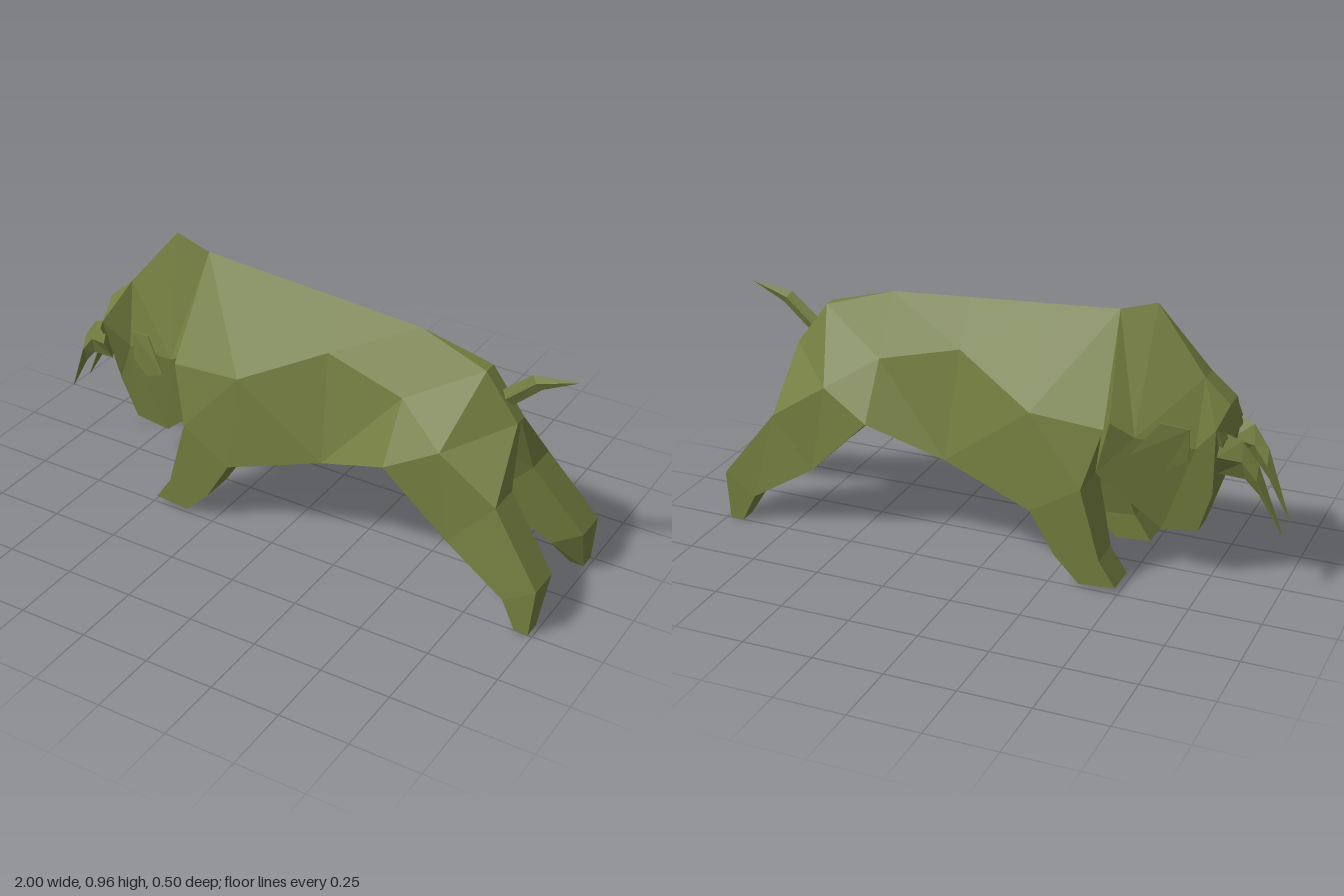
import * as THREE from 'three';

const hide = new THREE.MeshStandardMaterial({ color: 0x737d3f });
hide.name = 'olive hide';

// Faceted skin over a list of cross-sections, with both ends capped.
// Open sections run from the midline round the +z side; closed ones loop.
function loft(rings, closed) {
  const tris = [];
  const add = (a, b, c) => tris.push([a, b, c].map(p => new THREE.Vector3(...p)));
  const dist = (a, b) => Math.hypot(a[0] - b[0], a[1] - b[1], a[2] - b[2]);
  const n = rings[0].length;
  for (let i = 0; i < rings.length - 1; i++) {
    for (let j = 0; j < (closed ? n : n - 1); j++) {
      const k = (j + 1) % n;
      const a = rings[i][j], b = rings[i][k], c = rings[i + 1][k], d = rings[i + 1][j];
      if (dist(a, c) <= dist(b, d)) { add(a, b, c); add(a, c, d); }
      else { add(a, b, d); add(b, c, d); }
    }
  }
  const first = rings[0], last = rings[rings.length - 1];
  for (let j = 1; j < n - 1; j++) {
    add(first[0], first[j + 1], first[j]);
    add(last[0], last[j], last[j + 1]);
  }
  // drop collapsed triangles, then turn the skin outward
  const kept = tris.filter(([a, b, c]) => new THREE.Triangle(a, b, c).getArea() > 1e-7);
  const volume = kept.reduce((s, [a, b, c]) => s + a.dot(b.clone().cross(c)), 0);
  return kept.map(([a, b, c]) => (volume < 0 ? [a, c, b] : [a, b, c]));
}

function meshOf(name, tris) {
  const geo = new THREE.BufferGeometry().setFromPoints(tris.flat());
  geo.computeVertexNormals();
  const mesh = new THREE.Mesh(geo, hide);
  mesh.name = name;
  return mesh;
}

const mirror = tris => tris.map(([a, b, c]) =>
  [a, c, b].map(p => new THREE.Vector3(p.x, p.y, -p.z)));

// Four-cornered limb section: outer front, outer rear, inner rear, inner front
const limb = (fx, fy, rx, ry, zin, zout, zoutRear = zout, zinRear = zin) =>
  [[fx, fy, zout], [rx, ry, zoutRear], [rx, ry, zinRear], [fx, fy, zin]];

// Diamond section: top, outside, bottom, inside
const diamond = (tx, ty, bx, by, zin, zout) => {
  const x = (tx + bx) / 2, y = (ty + by) / 2, z = (zin + zout) / 2;
  return [[tx, ty, z], [x, y, zout], [bx, by, z], [x, y, zin]];
};

export function createModel() {
  const group = new THREE.Group();
  group.name = 'bull';
  const whole = (name, half) => group.add(meshOf(name, [...half, ...mirror(half)]));
  const pair = (name, tris) => {
    group.add(meshOf('left' + name, mirror(tris)));
    group.add(meshOf('right' + name, tris));
  };

  // Body, chest to rump: spine, spine edge, flank, lower side, inner side, belly
  whole('body', loft([
    [[-0.40, 0.92, 0], [-0.40, 0.92, 0], [-0.42, 0.57, 0.20], [-0.36, 0.36, 0.245], [-0.36, 0.36, 0.08], [-0.36, 0.36, 0]],
    [[-0.16, 0.904, 0], [-0.16, 0.904, 0], [-0.16, 0.59, 0.205], [-0.18, 0.25, 0.245], [-0.18, 0.25, 0.08], [-0.18, 0.25, 0]],
    [[0.135, 0.885, 0], [0.135, 0.885, 0], [0.135, 0.73, 0.10], [0.16, 0.35, 0.185], [0.23, 0.31, 0.08], [0.24, 0.283, 0]],
    [[0.43, 0.865, 0], [0.43, 0.865, 0], [0.43, 0.66, 0.123], [0.43, 0.46, 0.245], [0.43, 0.46, 0.10], [0.43, 0.46, 0]],
    [[0.68, 0.79, 0], [0.68, 0.79, 0.025], [0.61, 0.55, 0.20], [0.66, 0.235, 0.22], [0.66, 0.235, 0.10], [0.60, 0.54, 0]],
    [[0.80, 0.63, 0], [0.80, 0.63, 0.025], [0.82, 0.41, 0.20], [0.82, 0.41, 0.20], [0.82, 0.41, 0.08], [0.80, 0.63, 0]],
  ], false));

  // Head with hump and beard, face to neck: crown, crown edge, cheek, jaw edge, jaw
  whole('head', loft([
    [[-0.82, 0.56, 0], [-0.82, 0.56, 0.05], [-0.80, 0.56, 0.12], [-0.79, 0.43, 0.06], [-0.79, 0.43, 0]],
    [[-0.80, 0.66, 0], [-0.80, 0.66, 0.04], [-0.78, 0.60, 0.13], [-0.76, 0.34, 0.065], [-0.76, 0.34, 0]],
    [[-0.71, 0.74, 0], [-0.71, 0.74, 0.035], [-0.70, 0.50, 0.08], [-0.71, 0.185, 0.045], [-0.71, 0.185, 0]],
    [[-0.53, 0.96, 0], [-0.53, 0.96, 0], [-0.50, 0.52, 0.115], [-0.58, 0.165, 0.04], [-0.58, 0.165, 0]],
    [[-0.40, 0.92, 0], [-0.40, 0.92, 0], [-0.42, 0.57, 0.14], [-0.36, 0.36, 0.10], [-0.36, 0.36, 0]],
  ], false));

  // Legs
  pair('FrontLeg', loft([
    limb(-0.36, 0.36, -0.18, 0.25, 0.07, 0.245),
    limb(-0.43, 0.11, -0.27, 0.10, 0.125, 0.245),
    limb(-0.49, 0.02, -0.36, 0.01, 0.125, 0.245),
  ], true));
  pair('HindLeg', loft([
    limb(0.66, 0.235, 0.82, 0.41, 0.10, 0.22, 0.20, 0.08),
    limb(0.885, 0.10, 1.0, 0.175, 0.125, 0.245),
    limb(0.935, 0.0, 0.985, 0.0, 0.19, 0.25),
  ], true));

  // Horns curving forward and down
  pair('Horn', loft([
    diamond(-0.79, 0.58, -0.78, 0.43, 0.045, 0.125),
    diamond(-0.855, 0.555, -0.87, 0.42, 0.05, 0.095),
    diamond(-0.91, 0.48, -0.915, 0.37, 0.04, 0.088),
    diamond(-1.0, 0.23, -0.998, 0.228, 0.049, 0.051),
  ], true));

  // Ears: thin flakes flaring out to the rear
  const ear = [[-0.68, 0.57, 0.09], [-0.59, 0.59, 0.122], [-0.50, 0.48, 0.165],
    [-0.61, 0.42, 0.115], [-0.68, 0.46, 0.09]];
  pair('Ear', loft([ear, ear.map(([x, y, z]) => [x, y, z - 0.006])], true));

  // Tail
  group.add(meshOf('tail', loft([
    diamond(0.70, 0.70, 0.76, 0.67, -0.015, 0.015),
    diamond(0.83, 0.81, 0.865, 0.765, -0.012, 0.012),
    diamond(0.99, 0.83, 0.989, 0.828, -0.001, 0.001),
  ], true)));

  return group;
}
